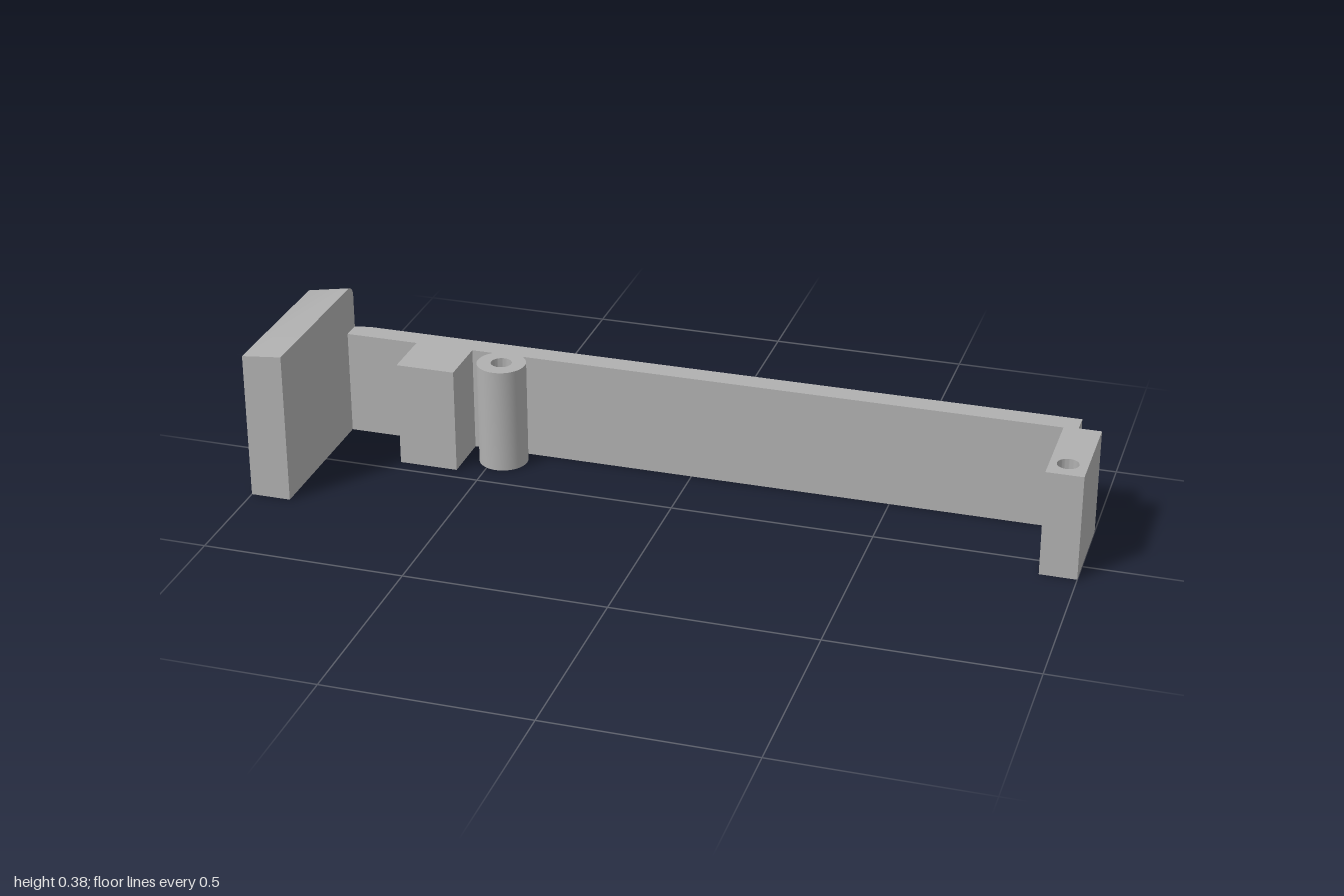
import * as THREE from 'three';
import { toCreasedNormals } from 'three/addons/utils/BufferGeometryUtils.js';

const metal = new THREE.MeshStandardMaterial({ color: 0xb0b0b0 });
metal.name = 'plain grey';

// Back faces run along BACK; left of BEND_X they slant forward
const BACK = -0.228, CHAMFER_Z = -0.208, INNER = -0.172, BEND_X = -0.86;
const HEIGHT = 0.267;

// Moves every vertex by a rule
function warp(geo, rule) {
  const p = geo.attributes.position;
  const v = new THREE.Vector3();
  for (let i = 0; i < p.count; i++) {
    v.fromBufferAttribute(p, i);
    rule(v);
    p.setXYZ(i, v.x, v.y, v.z);
  }
  return geo;
}

function slant(v) {
  if (v.z < -0.18) v.z += 0.2 * Math.max(0, BEND_X - v.x);
}

// Rectangle with round holes given as [x, y, radius]
function rectShape(x0, x1, y0, y1, holes = []) {
  const s = new THREE.Shape([
    new THREE.Vector2(x0, y0), new THREE.Vector2(x1, y0),
    new THREE.Vector2(x1, y1), new THREE.Vector2(x0, y1),
  ]);
  for (const [x, y, r] of holes) s.holes.push(new THREE.Path().absarc(x, y, r, 0, Math.PI * 2, true));
  return s;
}

function extrude(shape, depth) {
  return new THREE.ExtrudeGeometry(shape, { depth, bevelEnabled: false, curveSegments: 24 });
}

function add(parent, name, geo) {
  const mesh = new THREE.Mesh(toCreasedNormals(geo, 0.5), metal);
  mesh.name = name;
  parent.add(mesh);
}

function box(parent, name, x0, x1, y0, y1, z0, z1) {
  const g = new THREE.BoxGeometry(x1 - x0, y1 - y0, z1 - z0);
  g.translate((x0 + x1) / 2, (y0 + y1) / 2, (z0 + z1) / 2);
  add(parent, name, g);
}

// Upright panel with a chamfered lower back edge and holes from behind
function panel(parent, name, x0, x1, y1, zFront, holes) {
  const shape = rectShape(x0, x1, 0, y1, holes);
  const front = extrude(shape, zFront - CHAMFER_Z).translate(0, 0, CHAMFER_Z);
  const back = extrude(shape, CHAMFER_Z - BACK).translate(0, 0, BACK);
  warp(back, (v) => { if (v.z < BACK + 0.001 && v.y < 0.001) v.y = 0.01; });
  add(parent, name + 'Front', warp(front, slant));
  add(parent, name + 'Back', warp(back, slant));
}

// Horizontal slab with a vertical hole
function slab(parent, name, x0, x1, y0, y1, z0, z1, hole) {
  const g = extrude(rectShape(x0, x1, z0, z1, [hole]), y1 - y0);
  add(parent, name, g.rotateX(Math.PI / 2).translate(0, y1, 0));
}

export function createModel() {
  const model = new THREE.Group();
  model.name = 'bracket';

  // Long bar with its bent end
  const bar = new THREE.Group();
  bar.name = 'bar';
  panel(bar, 'mainBar', BEND_X, 0.945, HEIGHT, INNER, [[0.912, 0.143, 0.022], [-0.64, 0.143, 0.024]]);
  panel(bar, 'bentBar', -0.9, BEND_X, HEIGHT, INNER, []);
  model.add(bar);

  // Tall end plate: bored foot, body, bored back and rounded top corner
  const plate = new THREE.Group();
  plate.name = 'endPlate';
  const top = 0.382, split = 0.3, mid = -0.15;
  const tilt = (v) => {
    if (v.y > split) v.y += 0.1 * (v.x + 0.9) * (v.y - split) / (top - split);
  };
  slab(plate, 'plateFoot', -1, -0.9, 0, 0.1, mid, 0.228, [-0.95, 0.01, 0.026]);
  box(plate, 'plateBody', -1, -0.9, 0.1, split, mid, 0.228);
  panel(plate, 'plateRear', -1, -0.9, split, mid, [[-0.945, 0.155, 0.026]]);
  const r = 0.03;
  const profile = new THREE.Shape();
  profile.moveTo(0.228, split);
  profile.lineTo(0.228, top);
  profile.lineTo(BACK + r, top);
  profile.absarc(BACK + r, top - r, r, Math.PI / 2, Math.PI, false);
  profile.lineTo(BACK, split);
  const cap = extrude(profile, 0.1).rotateY(-Math.PI / 2).translate(-0.9, 0, 0);
  add(plate, 'plateTop', warp(cap, (v) => {
    tilt(v);
    // The slant fades in from the body to the back
    v.z += 0.2 * Math.max(0, BEND_X - v.x) * (v.z < -0.18 ? 1 : 0);
  }));
  model.add(plate);

  // Square lug on the inner face
  box(model, 'lug', -0.715, -0.567, 0, HEIGHT, INNER, -0.037);

  // Round post with a blind bore
  const bore = [[0, 0], [0.061, 0], [0.061, HEIGHT], [0.026, HEIGHT], [0.026, 0.13], [0, 0.13]];
  const post = new THREE.LatheGeometry(bore.map(([x, y]) => new THREE.Vector2(x, y)), 40);
  add(model, 'post', post.translate(-0.474, 0, -0.125));

  // Short end block with a blind bore
  const block = new THREE.Group();
  block.name = 'endBlock';
  slab(block, 'blockTop', 0.91, 1, 0.13, HEIGHT, -0.178, 0.065, [0.953, 0.01, 0.026]);
  box(block, 'blockBase', 0.91, 1, 0, 0.13, -0.178, 0.065);
  model.add(block);

  return model;
}
